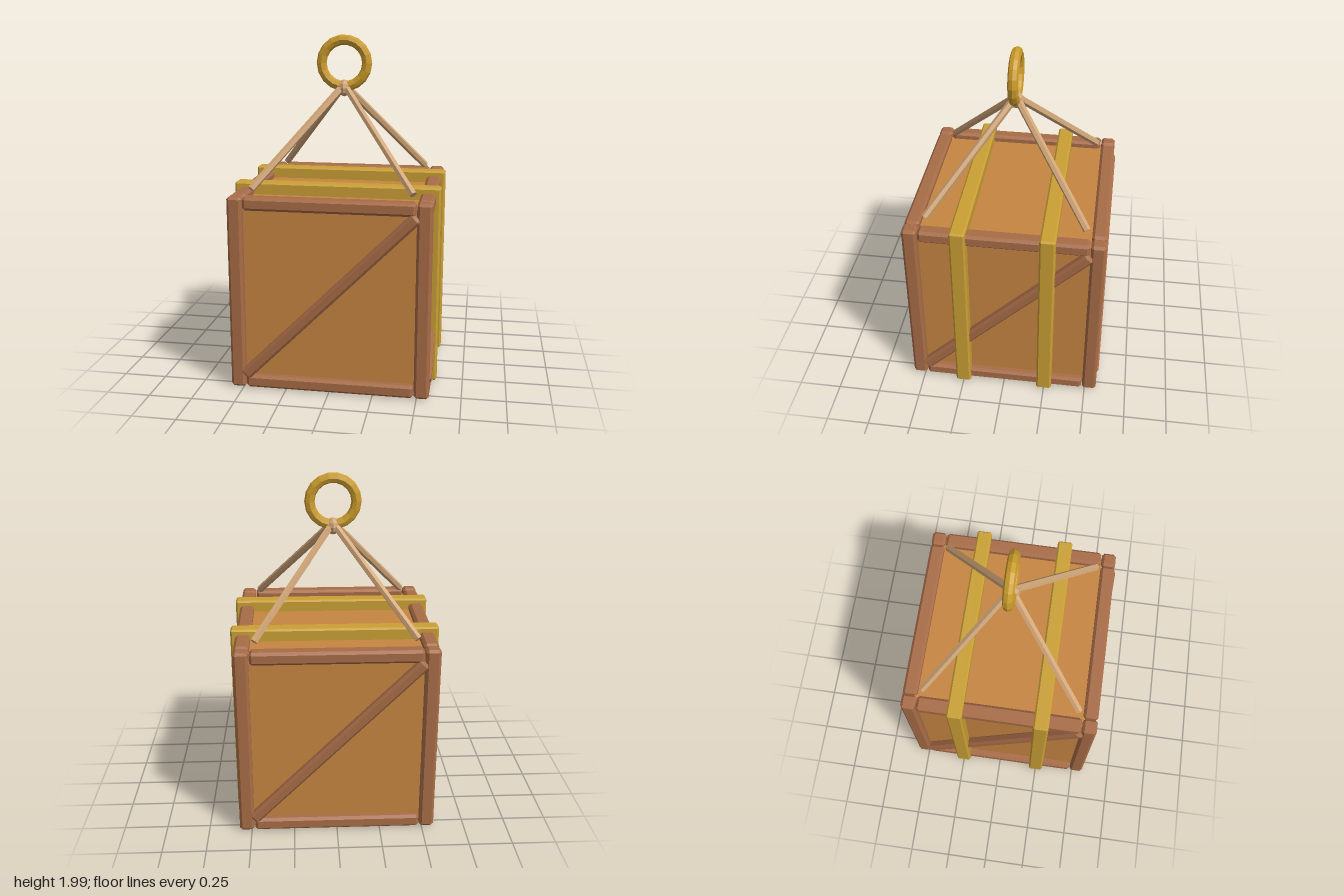
import * as THREE from 'three';
import { ConvexGeometry } from 'three/addons/geometries/ConvexGeometry.js';

function makeMaterial(name, color) {
  const material = new THREE.MeshStandardMaterial({ color, flatShading: true });
  material.name = name;
  return material;
}

// Box with every edge cut by a flat chamfer c
function chamferBox(w, h, d, c) {
  const half = [w / 2, h / 2, d / 2];
  const points = [];
  for (const sx of [-1, 1]) for (const sy of [-1, 1]) for (const sz of [-1, 1]) {
    for (let full = 0; full < 3; full++) {
      const p = half.map((v, i) => (i === full ? v : v - c));
      points.push(new THREE.Vector3(sx * p[0], sy * p[1], sz * p[2]));
    }
  }
  return new ConvexGeometry(points);
}

function add(parent, name, geometry, material, x = 0, y = 0, z = 0) {
  const mesh = new THREE.Mesh(geometry, material);
  mesh.name = name;
  mesh.position.set(x, y, z);
  parent.add(mesh);
  return mesh;
}

export function createModel() {
  const panelWood = makeMaterial('orange panel wood', 0xc68541);
  const frameWood = makeMaterial('brown frame wood', 0xa86c47);
  const strapGold = makeMaterial('yellow strap', 0xcaa035);
  const ringBrass = makeMaterial('brass ring', 0xcc9c2c);
  const ropeTan = makeMaterial('tan rope', 0xd0a577);

  const model = new THREE.Group();
  model.name = 'slungCrate';

  // Crate body
  add(model, 'cratePanels', new THREE.BoxGeometry(1.06, 1.055, 1.06), panelWood, 0, 0.5675, 0);

  // Each side has one corner post, two rails and a diagonal brace
  const post = chamferBox(0.085, 1.125, 0.085, 0.015);
  const rail = chamferBox(0.96, 0.075, 0.085, 0.015);
  const brace = chamferBox(1.38, 0.066, 0.06, 0.015);
  for (let i = 0; i < 4; i++) {
    const side = new THREE.Group();
    side.name = 'sideFrame' + (i + 1);
    side.rotation.y = (i * Math.PI) / 2;
    add(side, 'cornerPost', post, frameWood, 0.5275, 0.5725, 0.5275);
    add(side, 'bottomRail', rail, frameWood, 0, 0.0475, 0.5275);
    add(side, 'topRail', rail, frameWood, 0, 1.0975, 0.5275);
    add(side, 'diagonalBrace', brace, frameWood, 0, 0.57, 0.55).rotation.z = Math.PI / 4;
    model.add(side);
  }

  // Two straps around the crate
  const strap = chamferBox(1.194, 1.16, 0.09, 0.01);
  for (const z of [-0.25, 0.25]) add(model, 'strap', strap, strapGold, 0, 0.585, z);

  // Four ropes from the top corners to the knot
  const knotPoint = new THREE.Vector3(0, 1.71, 0);
  const up = new THREE.Vector3(0, 1, 0);
  for (const sx of [-1, 1]) for (const sz of [-1, 1]) {
    const corner = new THREE.Vector3(sx * 0.455, 1.16, sz * 0.455);
    const direction = knotPoint.clone().sub(corner);
    const geometry = new THREE.CylinderGeometry(0.022, 0.022, direction.length(), 6);
    const middle = corner.clone().add(knotPoint).multiplyScalar(0.5);
    const mesh = add(model, 'rope', geometry, ropeTan, middle.x, middle.y, middle.z);
    mesh.quaternion.setFromUnitVectors(up, direction.normalize());
  }

  // Knot and lifting ring
  const knot = new THREE.SphereGeometry(0.05, 8, 6).scale(0.75, 1, 1);
  add(model, 'knot', knot, ropeTan, 0, 1.69, 0);
  add(model, 'liftingRing', new THREE.TorusGeometry(0.135, 0.03, 8, 18), ringBrass, 0, 1.835, 0);

  return model;
}
